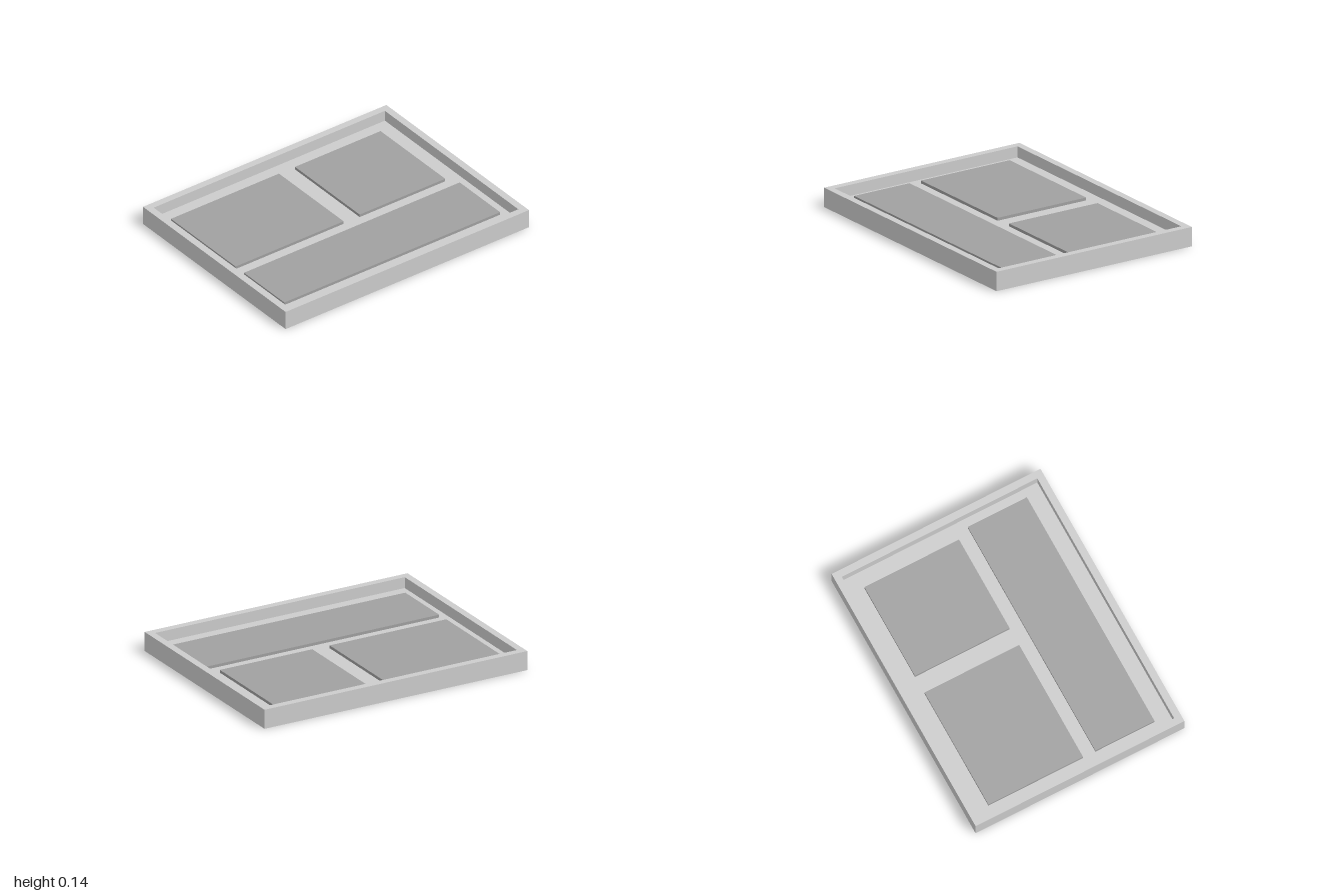
import * as THREE from 'three';

const W = 2, D = 1.555, H = 0.135; // outer size of the tray
const WALL = 0.05, FLOOR = 0.058, PANEL = 0.02;

function rectangle(PathType, w, d) {
  const p = new PathType();
  p.moveTo(-w / 2, -d / 2);
  p.lineTo(w / 2, -d / 2);
  p.lineTo(w / 2, d / 2);
  p.lineTo(-w / 2, d / 2);
  p.closePath();
  return p;
}

export function createModel() {
  const model = new THREE.Group();
  model.name = 'tray';
  const grey = new THREE.MeshStandardMaterial({ color: 0xcccccc });
  const dark = new THREE.MeshStandardMaterial({ color: 0xa0a0a0 });

  const add = (name, geometry, material, x, y, z) => {
    const mesh = new THREE.Mesh(geometry, material);
    mesh.name = name;
    mesh.position.set(x, y, z);
    model.add(mesh);
  };

  // Rim: a rectangular frame standing on the ground
  const outline = rectangle(THREE.Shape, W, D);
  outline.holes.push(rectangle(THREE.Path, W - 2 * WALL, D - 2 * WALL));
  const rim = new THREE.ExtrudeGeometry(outline, { depth: H, bevelEnabled: false });
  rim.rotateX(-Math.PI / 2);
  add('rim', rim, grey, 0, 0, 0);

  // Floor inside the rim
  add('floor', new THREE.BoxGeometry(W - 2 * WALL, FLOOR, D - 2 * WALL), grey, 0, FLOOR / 2, 0);

  // Thin raised panels on the floor: name, x range, z range
  const panels = [
    ['backRightPanel', -0.888, 0, -0.622, 0.083],
    ['backLeftPanel', 0.132, 0.835, -0.622, 0.083],
    ['frontPanel', -0.888, 0.885, 0.175, 0.615],
  ];
  for (const [name, x0, x1, z0, z1] of panels) {
    const slab = new THREE.BoxGeometry(x1 - x0, PANEL, z1 - z0);
    add(name, slab, dark, (x0 + x1) / 2, FLOOR + PANEL / 2, (z0 + z1) / 2);
  }

  return model;
}
